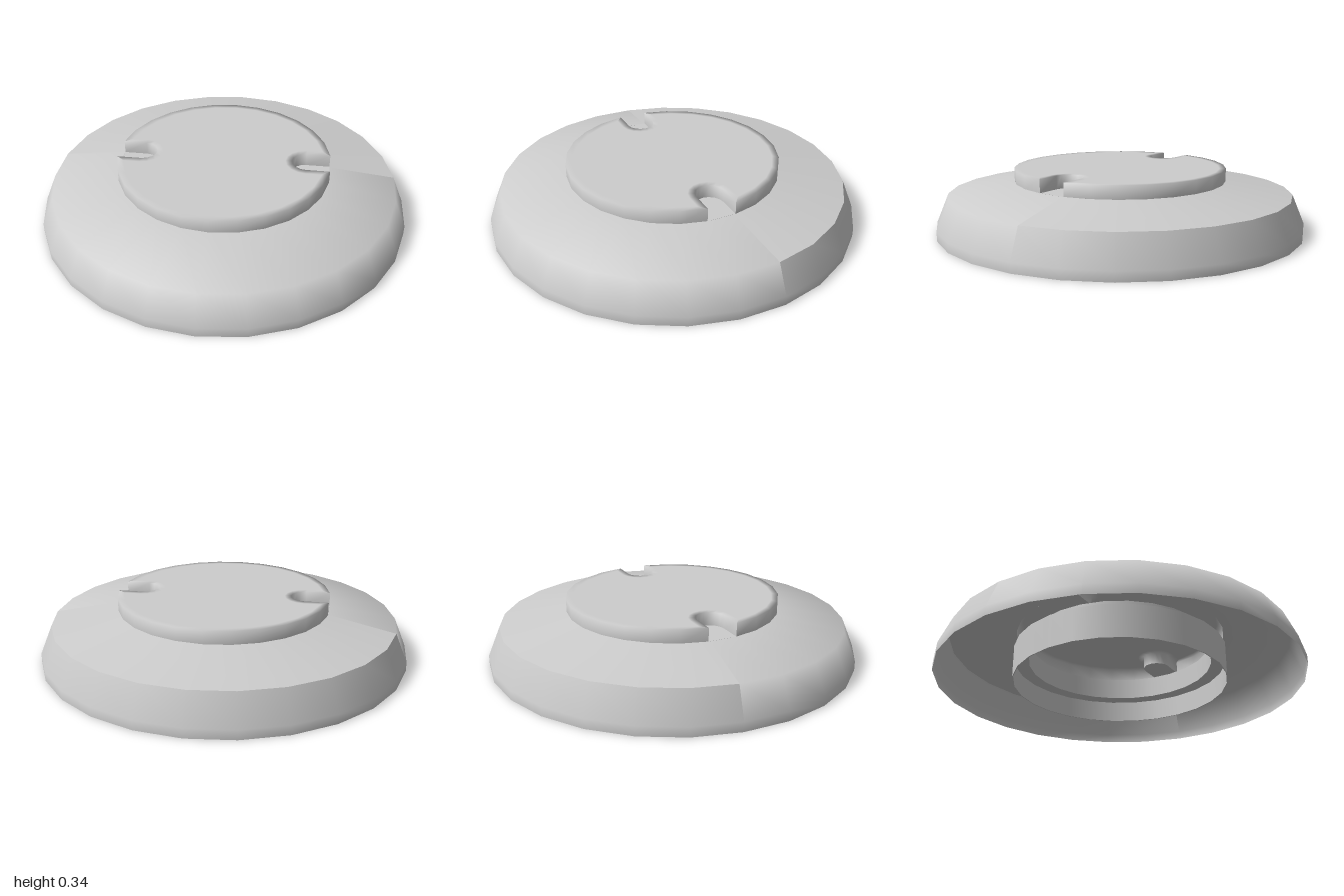
import * as THREE from 'three';
import { mergeGeometries } from 'three/addons/utils/BufferGeometryUtils.js';

const SIDES = 26;
const STEP = (Math.PI * 2) / SIDES;

// Lathe over a whole number of sides, starting at a given side
function lathe(points, firstSide = 0, sides = SIDES) {
  const profile = points.map(([r, y]) => new THREE.Vector2(r, y));
  return new THREE.LatheGeometry(profile, sides, firstSide * STEP, sides * STEP);
}

// Lathe with every profile edge kept sharp
function sharpLathe(points) {
  return mergeGeometries(points.slice(1).map((p, i) => lathe([points[i], p])));
}

// Cap outline as four runs: front arc, notch, back arc, notch; inset by d
function capRuns(d) {
  const R = 0.577 - d, w = 0.077 + d, cx = 0.445;
  const end = Math.PI / 2 - Math.asin(w / R);
  const arc = [], notch = [];
  for (let i = 0; i <= 12; i++) {
    const a = -end + (2 * end * i) / 12;
    arc.push([R * Math.sin(a), R * Math.cos(a)]);
  }
  notch.push(arc[12]);
  for (let i = 0; i <= 8; i++) {
    const a = (Math.PI * i) / 8;
    notch.push([cx - w * Math.sin(a), w * Math.cos(a)]);
  }
  notch.push([arc[12][0], -arc[12][1]]);
  const turn = (run) => run.map(([x, z]) => [-x, -z]);
  return [arc, notch, turn(arc), turn(notch)];
}

// Flat horizontal plate from x, z points
function plate(points, y) {
  const shape = new THREE.Shape(points.map(([x, z]) => new THREE.Vector2(x, -z)));
  return new THREE.ShapeGeometry(shape).rotateX(-Math.PI / 2).translate(0, y, 0);
}

// Wall and softened rim along one run of the cap
function capEdge(outer, inner, low, high) {
  const pos = [], index = [], n = outer.length;
  for (const [run, y] of [[outer, low], [outer, high], [inner, high]]) {
    for (const [x, z] of run) pos.push(x, y, z);
  }
  for (let row = 0; row < 2; row++) {
    for (let i = 0; i < n - 1; i++) {
      const a = row * n + i, b = a + 1, c = b + n, e = a + n;
      index.push(a, b, c, a, c, e);
    }
  }
  const g = new THREE.BufferGeometry();
  g.setAttribute('position', new THREE.Float32BufferAttribute(pos, 3));
  g.setIndex(index);
  g.computeVertexNormals();
  return g;
}

export function createModel() {
  const model = new THREE.Group();
  model.name = 'roundCover';
  const grey = new THREE.MeshStandardMaterial({ color: 0xcccccc, side: THREE.DoubleSide });
  grey.name = 'light grey';
  const add = (name, geometry) => {
    const mesh = new THREE.Mesh(geometry, grey);
    mesh.name = name;
    model.add(mesh);
  };

  // Thin outer shell: softly rounded front, creased back
  const base = [1, 0], band = [1, 0.05], shoulder = [0.935, 0.205], neck = [0.577, 0.27];
  add('frontShell', lathe([base, band, shoulder, neck], -7, 14));
  add('backWall', lathe([base, band, shoulder], 7, 12));
  add('backSlope', lathe([shoulder, neck], 7, 12));

  // Raised cap with two finger notches
  const low = 0.27, high = 0.34;
  const outer = capRuns(0), inner = capRuns(0.035);
  outer.forEach((run, i) => {
    add(i % 2 ? 'notchEdge' : 'capEdge', capEdge(run, inner[i], low, high));
    if (i % 2) add('notchFloor', plate(run, low));
  });
  add('capTop', plate(inner.flatMap((run) => run.slice(0, -1)), high));

  // Stepped ring under the cap
  add('innerRing', sharpLathe([
    [0.585, 0], [0.585, 0.18], [0.507, 0.18], [0.507, 0.24],
    [0.502, 0.24], [0.502, 0.12], [0.58, 0.12], [0.58, 0], [0.585, 0],
  ]));

  return model;
}
